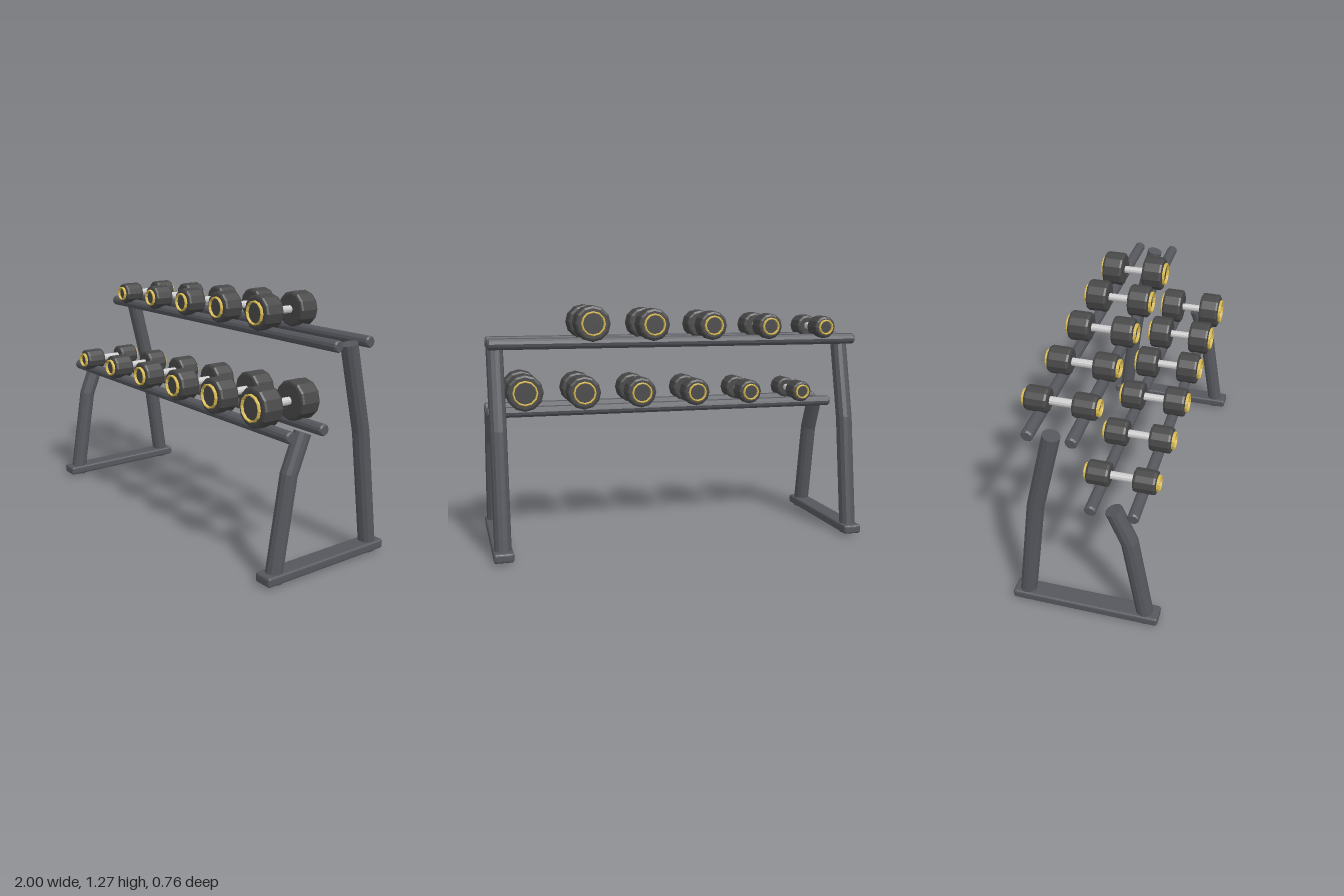
import * as THREE from 'three';
import { RoundedBoxGeometry } from 'three/addons/geometries/RoundedBoxGeometry.js';

const SIDES = 12;
const mat = (color) => new THREE.MeshStandardMaterial({ color, flatShading: true });

function add(parent, name, geometry, material) {
  const mesh = new THREE.Mesh(geometry, material);
  mesh.name = name;
  parent.add(mesh);
  return mesh;
}

// Solid of revolution about y from [radius, height] pairs, bottom to top
const lathe = (pts) =>
  new THREE.LatheGeometry(pts.map(([r, y]) => new THREE.Vector2(r, y)), SIDES);

// Bent post: a cylinder whose three rings follow a [z, y] path, mitred at the bend
function bentPost(path, radius) {
  const P = path.map(([z, y]) => new THREE.Vector2(z, y));
  const d0 = P[1].clone().sub(P[0]).normalize();
  const d1 = P[2].clone().sub(P[1]).normalize();
  const dm = d0.clone().add(d1).normalize();
  const dirs = [d0, dm, d1];
  const stretch = [1, 1 / dm.dot(d0), 1];
  const geo = new THREE.CylinderGeometry(radius, radius, 2, SIDES, 2);
  const pos = geo.attributes.position;
  for (let i = 0; i < pos.count; i++) {
    const ring = Math.round(pos.getY(i) + 1);
    const s = pos.getZ(i) * stretch[ring];
    const d = dirs[ring];
    pos.setXYZ(i, pos.getX(i), P[ring].y - d.x * s, P[ring].x + d.y * s);
  }
  geo.computeVertexNormals();
  return geo;
}

export function createModel() {
  const model = new THREE.Group();
  model.name = 'dumbbellRack';
  const steel = mat(0x55575d);
  const rubber = mat(0x474747);
  const gold = mat(0xd6b850);
  const chrome = mat(0xcccccc);

  // Side frames: foot with a short front post and a tall rear post
  for (const side of [-1, 1]) {
    const frame = new THREE.Group();
    frame.name = side > 0 ? 'leftFrame' : 'rightFrame';
    frame.position.x = side * 0.95;
    model.add(frame);
    add(frame, 'foot', new RoundedBoxGeometry(0.1, 0.048, 0.756, 2, 0.012), steel).position.y = 0.036;
    add(frame, 'frontPost', bentPost([[0.313, 0.008], [0.229, 0.52], [0.153, 0.705]], 0.043), steel);
    add(frame, 'rearPost', bentPost([[-0.315, 0.008], [-0.23, 0.645], [-0.126, 1.082]], 0.043), steel);
  }

  // Dumbbell along z; grows with its size step
  function dumbbell(step) {
    const group = new THREE.Group();
    group.name = 'dumbbell';
    const R = 0.06 + 0.0078 * step;
    const c = 0.014;
    const headGeo = lathe([[0, 0.057], [R - c, 0.057], [R - 0.004, 0.061], [R, 0.057 + c],
      [R, 0.17 - c], [R - 0.004, 0.166], [R - c, 0.17], [0, 0.17]]);
    const o = R * 0.68, n = o - 0.009;
    const ringGeo = lathe([[n, 0.168], [o, 0.168], [o, 0.181], [o - 0.003, 0.184],
      [n + 0.002, 0.184], [n, 0.181], [n, 0.168]]);
    for (const end of [-1, 1]) {
      add(group, 'head', headGeo, rubber).rotation.x = end * Math.PI / 2;
      add(group, 'endRing', ringGeo, gold).rotation.x = end * Math.PI / 2;
    }
    const handle = new THREE.CylinderGeometry(0.02, 0.02, 0.13, SIDES, 1, true);
    add(group, 'handle', handle, chrome).rotation.x = Math.PI / 2;
    return group;
  }

  // Two shelves, each a pair of rails carrying a row of dumbbells
  const railGeo = lathe([[0, -0.99], [0.023, -0.99], [0.029, -0.982],
    [0.029, 0.982], [0.023, 0.99], [0, 0.99]]);
  const shelves = [
    { name: 'lowerShelf', y: 0.704, z: 0.152, count: 6 },
    { name: 'upperShelf', y: 1.084, z: -0.126, count: 5 },
  ];
  for (const { name, y, z, count } of shelves) {
    const shelf = new THREE.Group();
    shelf.name = name;
    shelf.position.set(0, y, z);
    model.add(shelf);
    for (const end of [-1, 1]) {
      const rail = add(shelf, end > 0 ? 'frontRail' : 'rearRail', railGeo, steel);
      rail.rotation.z = Math.PI / 2;
      rail.position.z = end * 0.102;
    }
    for (let i = 0; i < count; i++) {
      const bell = dumbbell(i);
      bell.position.set(-0.79 + 0.316 * i, 0.066 + 0.008 * i, 0);
      shelf.add(bell);
    }
  }
  return model;
}
